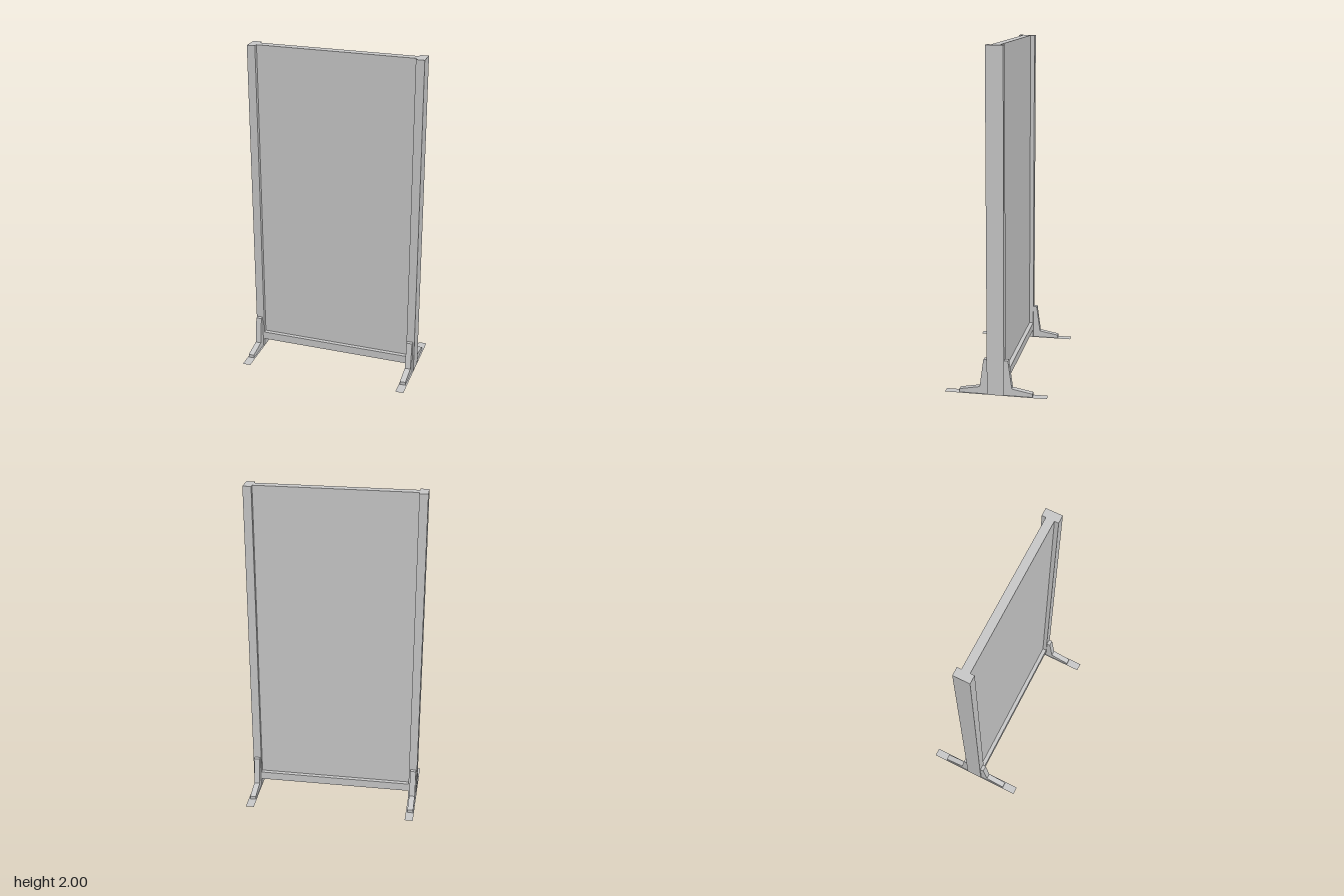
import * as THREE from 'three';

export function createModel() {
  const model = new THREE.Group();
  model.name = 'partitionScreen';
  const material = new THREE.MeshStandardMaterial({ color: 0xcccccc, flatShading: true });
  const thin = new THREE.MeshStandardMaterial({ color: 0xcccccc, flatShading: true, side: THREE.DoubleSide });

  const add = (name, geometry, x, y, z, mat = material) => {
    const mesh = new THREE.Mesh(geometry, mat);
    mesh.name = name;
    mesh.position.set(x, y, z);
    model.add(mesh);
    return mesh;
  };

  // Screen panel set between the posts, above the bottom rail
  add('panel', new THREE.BoxGeometry(0.95, 1.9, 0.05), 0, 1.05, 0);
  add('bottomRail', new THREE.BoxGeometry(0.95, 0.05, 0.1), 0, 0.075, 0);

  // Foot bracket outline: x runs outward from the post, y is up
  const outline = new THREE.Shape([
    [0.05, 0], [0.215, 0], [0.215, 0.02], [0.095, 0.042], [0.072, 0.21], [0.05, 0.21],
  ].map(([x, y]) => new THREE.Vector2(x, y)));
  const bracketWidth = 0.035;
  const bracket = new THREE.ExtrudeGeometry(outline, { depth: bracketWidth, bevelEnabled: false });
  bracket.translate(0, 0, -bracketWidth / 2);

  for (const side of [-1, 1]) {
    const label = side > 0 ? 'left' : 'right';
    add(label + 'Post', new THREE.BoxGeometry(0.05, 2, 0.1), side * 0.5, 1, 0);

    // Flat floor plate under each post
    add(label + 'FloorPlate', new THREE.PlaneGeometry(0.05, 0.6).rotateX(-Math.PI / 2), side * 0.5, 0, 0, thin);

    // Brackets in front of and behind each post
    for (const facing of [-1, 1]) {
      const name = label + (facing > 0 ? 'Front' : 'Back') + 'Bracket';
      add(name, bracket, side * 0.5 - 0.002, 0, 0).rotation.y = -facing * Math.PI / 2;
    }
  }
  return model;
}
